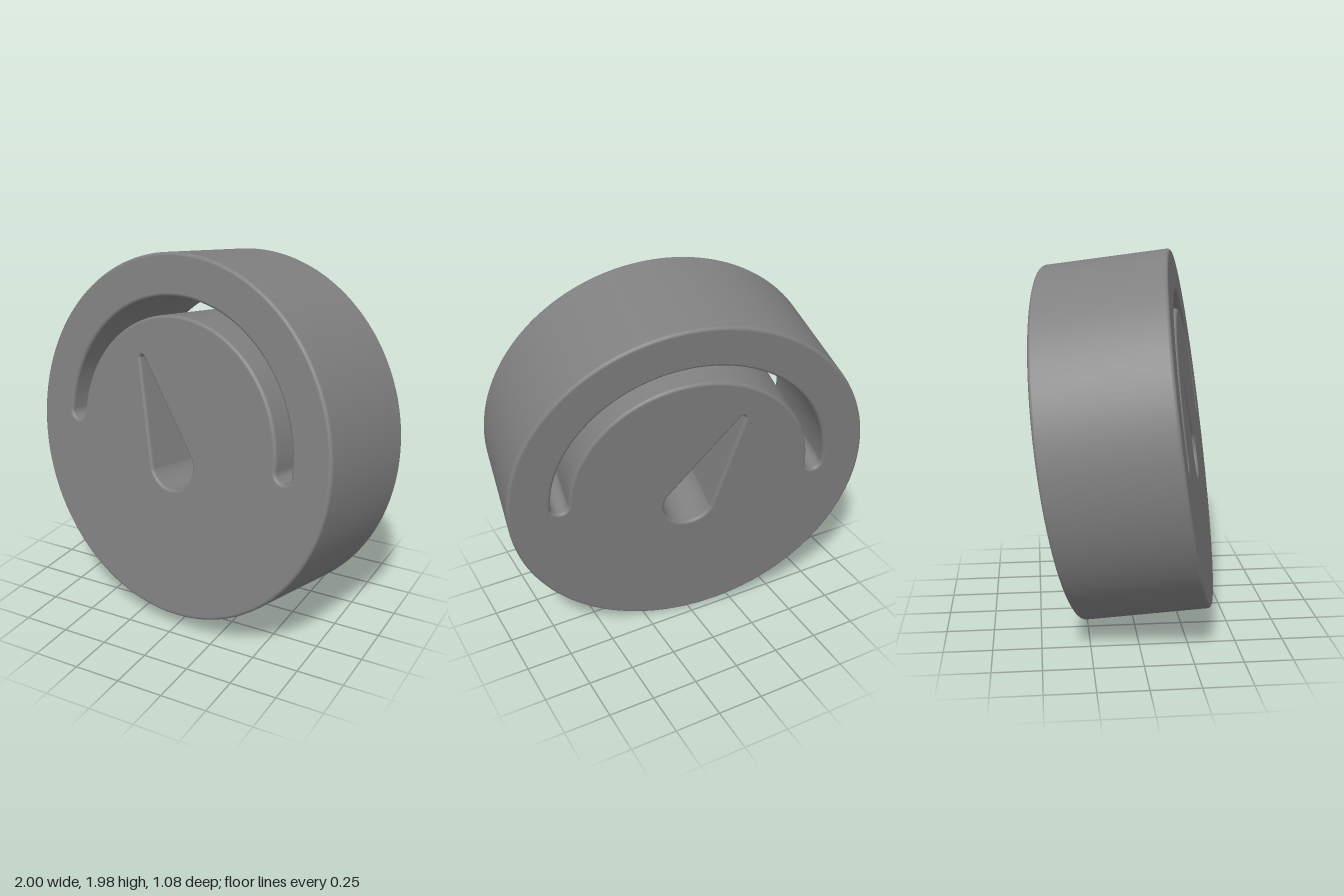
import * as THREE from 'three';
import { mergeVertices } from 'three/addons/utils/BufferGeometryUtils.js';

const RADIUS = 0.957, THICKNESS = 0.675, BEVEL = 0.018;

// Half-ring scale slot with rounded ends
function arcSlot(radius, halfWidth) {
  const p = new THREE.Path();
  p.absarc(0, 0, radius + halfWidth, 0, Math.PI, false);
  p.absarc(-radius, 0, halfWidth, Math.PI, 2 * Math.PI, false);
  p.absarc(0, 0, radius - halfWidth, Math.PI, 0, true);
  p.absarc(radius, 0, halfWidth, Math.PI, 2 * Math.PI, false);
  return p;
}

// Needle opening: a half circle at each end, joined by tapering sides
function needleSlot(base, baseRadius, tip, tipRadius) {
  const a = Math.atan2(tip.y - base.y, tip.x - base.x);
  const p = new THREE.Path();
  p.absarc(base.x, base.y, baseRadius, a + Math.PI / 2, a + 1.5 * Math.PI, false);
  p.absarc(tip.x, tip.y, tipRadius, a - Math.PI / 2, a + Math.PI / 2, false);
  p.closePath();
  return p;
}

export function createModel() {
  const face = new THREE.Shape();
  face.absarc(0, 0, RADIUS, 0, 2 * Math.PI, false);
  face.holes.push(
    arcSlot(0.69, 0.047),
    needleSlot(new THREE.Vector2(0, -0.13), 0.138, new THREE.Vector2(-0.255, 0.383), 0.014)
  );

  // Thick disc, cut through, with rounded rims on both faces
  let geometry = new THREE.ExtrudeGeometry(face, {
    depth: THICKNESS - 2 * BEVEL,
    curveSegments: 80,
    bevelEnabled: true,
    bevelThickness: BEVEL,
    bevelSize: BEVEL,
    bevelOffset: -BEVEL,
    bevelSegments: 5
  });
  geometry.translate(0, 0, BEVEL - THICKNESS / 2);
  geometry.deleteAttribute('normal');
  geometry.deleteAttribute('uv');
  geometry.clearGroups();
  geometry = mergeVertices(geometry, 1e-5);
  geometry.computeVertexNormals();

  // Keep the two flat faces perfectly flat in shading
  const { position, normal } = geometry.attributes;
  for (let i = 0; i < position.count; i++) {
    const z = position.getZ(i);
    if (Math.abs(z) > THICKNESS / 2 - 1e-4) normal.setXYZ(i, 0, 0, Math.sign(z));
  }

  const disc = new THREE.Mesh(geometry, new THREE.MeshStandardMaterial({ color: 0x808080 }));
  disc.name = 'gaugeDisc';
  // Turned to its right and tipped back slightly
  disc.rotation.set(-0.137, -0.18, 0, 'YXZ');
  disc.position.y = 0.994;

  const model = new THREE.Group();
  model.name = 'gauge';
  model.add(disc);
  return model;
}
